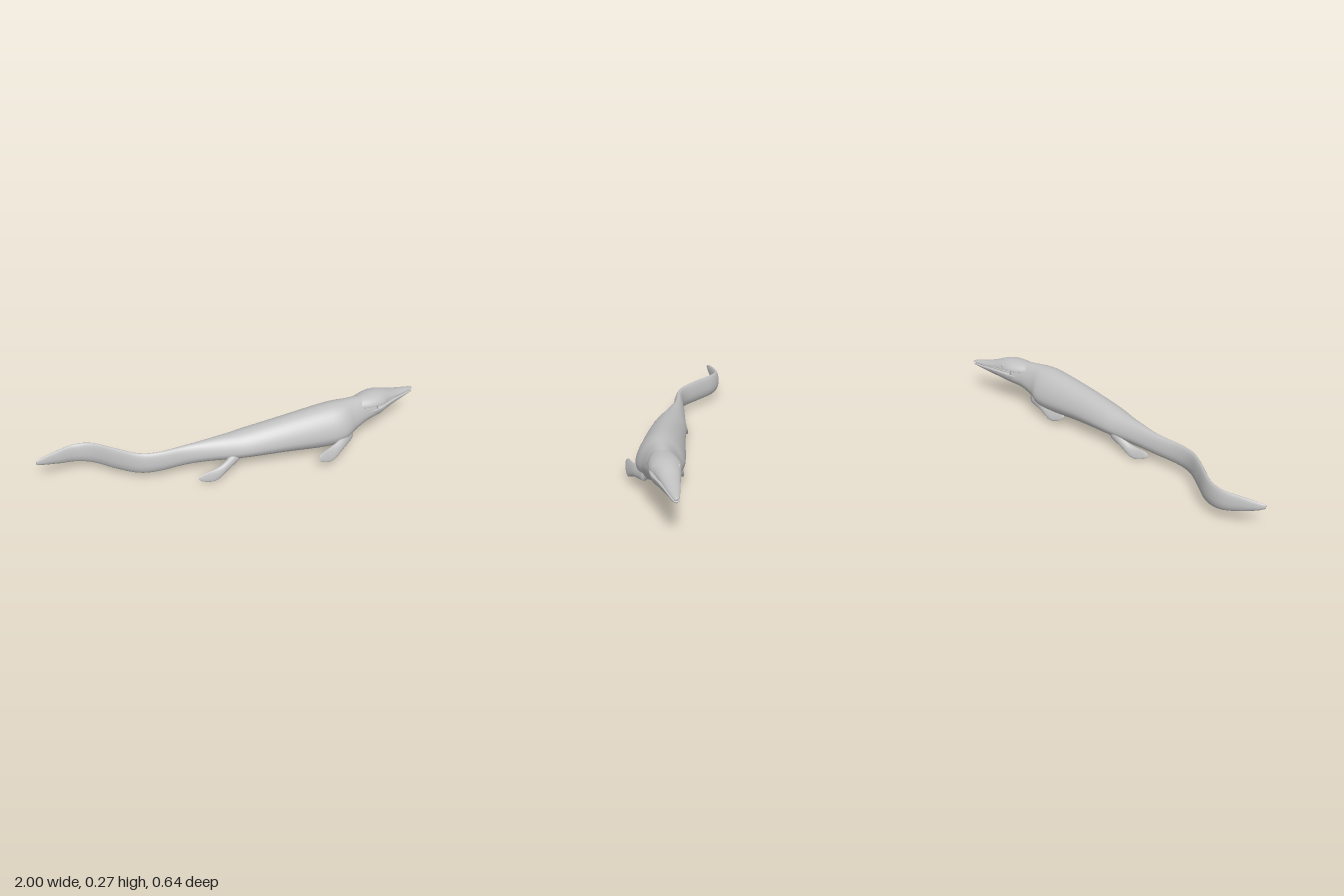
import * as THREE from 'three';

const V = (x, y, z) => new THREE.Vector3(x, y, z);
const spline = (pts) => new THREE.CatmullRomCurve3(pts, false, 'catmullrom', 0.5);

// Closed skin over a list of rings, each an array of Vector3
function skin(rings) {
  const n = rings[0].length, pos = [], idx = [];
  rings.forEach((r) => r.forEach((p) => pos.push(p.x, p.y, p.z)));
  for (let i = 0; i < rings.length - 1; i++) {
    for (let j = 0; j < n; j++) {
      const a = i * n + j, b = i * n + (j + 1) % n;
      idx.push(a, a + n, b, b, a + n, b + n);
    }
  }
  [0, rings.length - 1].forEach((i) => {
    const c = V(0, 0, 0);
    rings[i].forEach((p) => c.addScaledVector(p, 1 / n));
    const k = pos.length / 3;
    pos.push(c.x, c.y, c.z);
    for (let j = 0; j < n; j++) {
      const a = i * n + j, b = i * n + (j + 1) % n;
      if (i === 0) idx.push(k, a, b); else idx.push(k, b, a);
    }
  });
  const g = new THREE.BufferGeometry();
  g.setAttribute('position', new THREE.Float32BufferAttribute(pos, 3));
  g.setIndex(idx);
  g.computeVertexNormals();
  return g;
}

// Upright sections: rows of [x, z, top, bottom, halfWidth]; mid = height of the widest line (0..1)
function loft(rows, steps, mid, taper = 0, sides = 28) {
  const path = spline(rows.map((r) => V(r[0], 0, r[1])));
  const size = spline(rows.map((r) => V(r[2], r[3], r[4])));
  const rings = [];
  for (let i = 0; i <= steps; i++) {
    const t = i / steps, p = path.getPoint(t), s = size.getPoint(t), d = path.getTangent(t);
    const my = s.y + (s.x - s.y) * mid, ring = [];
    for (let j = 0; j < sides; j++) {
      const a = (j / sides) * Math.PI * 2, up = Math.sin(a);
      const w = Math.cos(a) * s.z * (1 - taper * Math.max(0, up));
      const y = my + up * (up > 0 ? s.x - my : my - s.y);
      ring.push(V(p.x - d.z * w, y, p.z + d.x * w));
    }
    rings.push(ring);
  }
  return skin(rings);
}

// Rounded blade along a spine, its chord running along a fixed direction
function flipperGeometry(points, chordDir, chords) {
  const path = spline(points.map((p) => V(...p)));
  const size = spline(chords.map((c, i) => V(i, c, 0)));
  const D = V(...chordDir).normalize(), rings = [], steps = 24, sides = 16;
  for (let i = 0; i <= steps; i++) {
    const t = Math.sin((i / steps) * Math.PI / 2), p = path.getPoint(t);
    const N = D.clone().cross(path.getTangent(t)).normalize();
    const round = Math.sqrt(Math.max(0.002, 1 - t ** 5));
    const h = size.getPoint(t).y * round, th = (0.024 - 0.016 * Math.min(1, t * 1.3)) * round;
    const ring = [];
    for (let j = 0; j < sides; j++) {
      const a = (j / sides) * Math.PI * 2;
      ring.push(p.clone().addScaledVector(D, Math.cos(a) * h).addScaledVector(N, Math.sin(a) * th));
    }
    rings.push(ring);
  }
  return skin(rings);
}

export function createModel() {
  const model = new THREE.Group();
  model.name = 'marineReptile';
  const hide = new THREE.MeshStandardMaterial({ color: 0xc0c0c0 });
  hide.name = 'greyHide';
  const add = (name, geometry) => {
    const m = new THREE.Mesh(geometry, hide);
    m.name = name;
    model.add(m);
    return m;
  };

  // Tail, trunk and neck in one smooth skin
  add('body', loft([
    [-1.0, -0.285, 0.142, 0.122, 0.005],
    [-0.96, -0.293, 0.15, 0.104, 0.012],
    [-0.88, -0.302, 0.158, 0.078, 0.017],
    [-0.79, -0.303, 0.163, 0.058, 0.02],
    [-0.71, -0.262, 0.167, 0.048, 0.022],
    [-0.625, -0.165, 0.165, 0.041, 0.023],
    [-0.54, -0.078, 0.16, 0.041, 0.024],
    [-0.45, -0.038, 0.16, 0.046, 0.025],
    [-0.31, -0.016, 0.165, 0.053, 0.034],
    [-0.2, 0.01, 0.177, 0.056, 0.05],
    [-0.1, 0.036, 0.19, 0.054, 0.068],
    [0.0, 0.062, 0.207, 0.055, 0.086],
    [0.2, 0.108, 0.24, 0.05, 0.1],
    [0.4, 0.147, 0.268, 0.037, 0.115],
    [0.49, 0.163, 0.274, 0.046, 0.114],
    [0.56, 0.167, 0.272, 0.078, 0.086],
    [0.64, 0.167, 0.268, 0.112, 0.069],
    [0.71, 0.164, 0.262, 0.128, 0.066],
  ], 110, 0.42, 0.14, 36));

  // Skull and upper jaw
  add('upperJaw', loft([
    [0.6, 0.167, 0.262, 0.22, 0.05],
    [0.67, 0.166, 0.27, 0.216, 0.069],
    [0.73, 0.163, 0.271, 0.215, 0.073],
    [0.78, 0.158, 0.262, 0.212, 0.06],
    [0.85, 0.153, 0.237, 0.208, 0.043],
    [0.92, 0.149, 0.219, 0.202, 0.029],
    [0.98, 0.146, 0.207, 0.197, 0.016],
    [1.0, 0.145, 0.202, 0.196, 0.008],
  ], 40, 0.15, 0.1));

  // Lower jaw
  add('lowerJaw', loft([
    [0.6, 0.167, 0.2, 0.115, 0.055],
    [0.67, 0.166, 0.206, 0.12, 0.066],
    [0.73, 0.163, 0.206, 0.13, 0.068],
    [0.78, 0.158, 0.204, 0.14, 0.058],
    [0.85, 0.153, 0.199, 0.153, 0.042],
    [0.92, 0.149, 0.193, 0.166, 0.028],
    [0.98, 0.146, 0.188, 0.176, 0.015],
    [0.995, 0.145, 0.186, 0.179, 0.008],
  ], 40, 0.82));

  // Gum line recessed between the jaws
  add('gums', loft([
    [0.66, 0.166, 0.222, 0.198, 0.058],
    [0.75, 0.161, 0.219, 0.197, 0.058],
    [0.85, 0.153, 0.212, 0.194, 0.036],
    [0.95, 0.147, 0.203, 0.188, 0.018],
    [0.985, 0.146, 0.199, 0.186, 0.008],
  ], 20, 0.5));

  // Eyes under low brows
  for (const side of [-1, 1]) {
    const eye = add(side > 0 ? 'frontEye' : 'rearEye', new THREE.SphereGeometry(0.011, 16, 10));
    eye.scale.set(1.3, 0.7, 0.7);
    eye.position.set(0.755, 0.239, 0.16 + side * 0.053);
  }

  // Four paddles sweeping back and down
  const fore = [0.05, 0.032, 0.04, 0.038], hind = [0.036, 0.026, 0.033, 0.034];
  add('leftForeFlipper', flipperGeometry(
    [[0.53, 0.115, 0.225], [0.455, 0.09, 0.272], [0.38, 0.065, 0.295], [0.29, 0.073, 0.31]],
    [0, -0.9, 0.35], fore));
  add('rightForeFlipper', flipperGeometry(
    [[0.55, 0.11, 0.115], [0.47, 0.085, 0.075], [0.395, 0.058, 0.055], [0.305, 0.064, 0.048]],
    [0, -0.9, -0.35], fore));
  add('leftHindFlipper', flipperGeometry(
    [[-0.06, 0.095, 0.085], [-0.14, 0.062, 0.112], [-0.21, 0.034, 0.122], [-0.3, 0.038, 0.117]],
    [0, -0.9, 0.25], hind));
  add('rightHindFlipper', flipperGeometry(
    [[-0.04, 0.095, 0.005], [-0.11, 0.065, -0.024], [-0.18, 0.036, -0.038], [-0.27, 0.042, -0.044]],
    [0, -0.9, -0.4], hind));

  return model;
}
